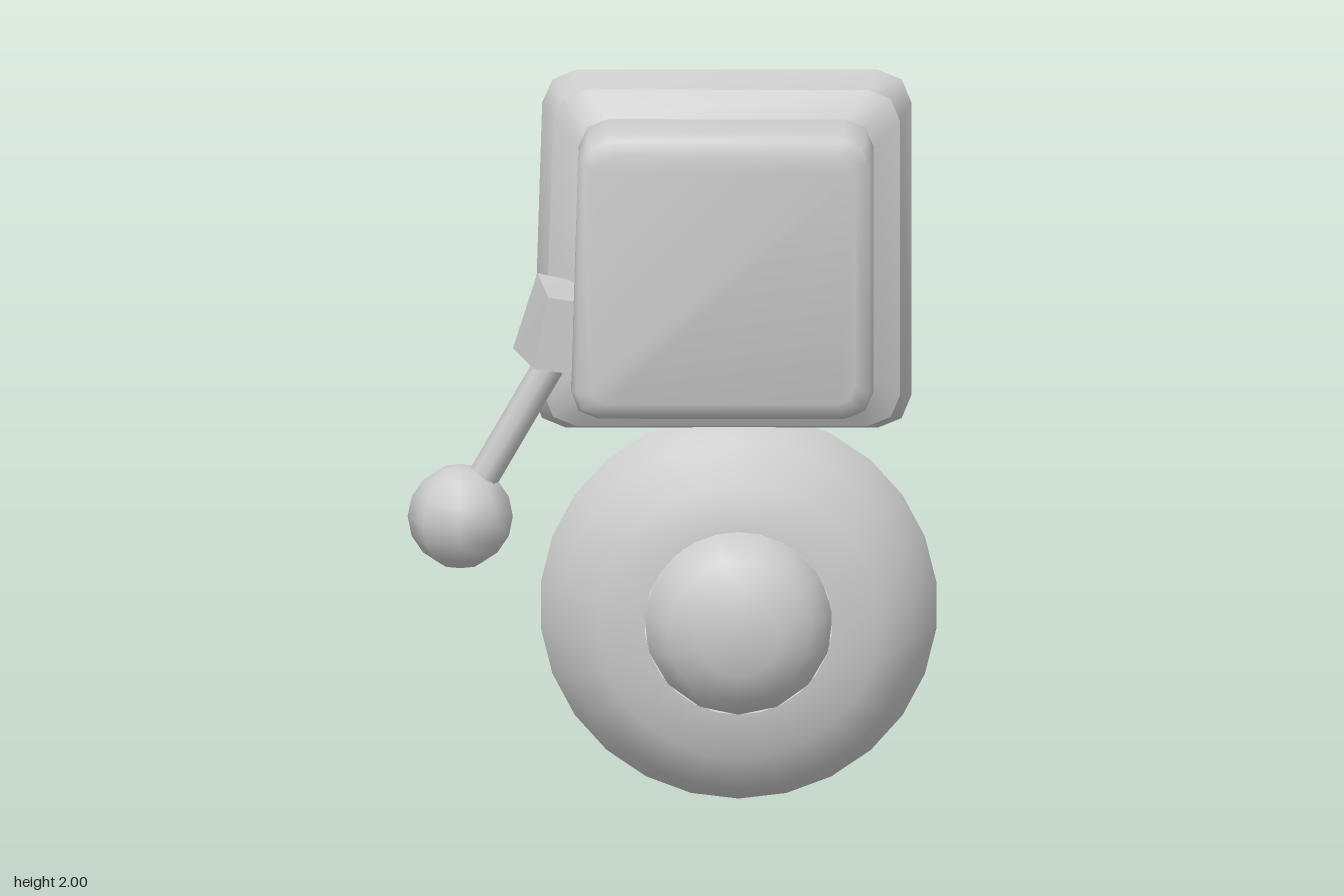
import * as THREE from 'three';
import { toCreasedNormals } from 'three/addons/utils/BufferGeometryUtils.js';

const grey = new THREE.MeshStandardMaterial({ color: 0xcccccc, side: THREE.DoubleSide });

function add(parent, name, geometry) {
  const mesh = new THREE.Mesh(geometry, grey);
  mesh.name = name;
  parent.add(mesh);
  return mesh;
}

// Rounded rectangle whose left edge leans slightly outward towards the bottom
function outline(inset, radius, z) {
  const [l, r, b, t] = [-0.365 + inset, 0.63 - inset, 1.02 + inset, 2 - inset];
  const corners = [[r, t, -1, -1], [l, t, 1, -1], [l, b, 1, 1], [r, b, -1, 1]];
  const ring = [];
  corners.forEach(([x, y, sx, sy], k) => {
    for (let i = 0; i <= 2; i++) {
      const a = (k + i / 2) * Math.PI / 2;
      const py = y + sy * radius + radius * Math.sin(a);
      const lean = sx > 0 ? 0.03 * ((py - 1.02) / 0.98 - 0.5) : 0;
      ring.push([x + sx * radius + radius * Math.cos(a) + lean, py, z]);
    }
  });
  return ring;
}

// Skin between successive rings, optionally closed at the last one
function loft(rings, crease, cap = false) {
  const n = rings[0].length, index = [], points = rings.flat();
  for (let i = 0; i < rings.length - 1; i++) {
    for (let j = 0; j < n; j++) {
      const a = i * n + j, b = i * n + (j + 1) % n;
      index.push(a, b, b + n, a, b + n, a + n);
    }
  }
  if (cap) {
    const s = (rings.length - 1) * n;
    for (let j = 1; j < n - 1; j++) index.push(s, s + j, s + j + 1);
  }
  const g = new THREE.BufferGeometry();
  g.setAttribute('position', new THREE.Float32BufferAttribute(points.flat(), 3));
  g.setIndex(index);
  return toCreasedNormals(g, crease);
}

// Round shell about the z axis from [radius, z] points
function dish(profile, sides, crease) {
  const points = profile.map(([r, z]) => new THREE.Vector2(r, z));
  return toCreasedNormals(new THREE.LatheGeometry(points, sides).rotateX(Math.PI / 2), crease);
}

export function createModel() {
  const model = new THREE.Group();
  model.name = 'alarmBell';

  // Housing: hollow, open at the back
  const housing = new THREE.Group();
  housing.name = 'housing';
  model.add(housing);
  add(housing, 'housingRim', loft([outline(0, 0.09, -0.17), outline(0.03, 0.085, -0.065)], 0.9));
  add(housing, 'housingShoulder', loft([outline(0.03, 0.085, -0.065), outline(0.1, 0.075, -0.02)], 0.9));
  add(housing, 'housingCover', loft([
    outline(0.1, 0.075, -0.02), outline(0.1, 0.075, 0.145),
    outline(0.114, 0.066, 0.176), outline(0.15, 0.045, 0.19),
  ], 0.95, true));

  // Gong: flared bowl with a shallow recess behind the hub
  const gong = new THREE.Group();
  gong.name = 'gong';
  gong.position.set(0.17, 0.53, 0);
  model.add(gong);
  add(gong, 'gongBowl', dish(
    [[0.53, -0.19], [0.475, -0.07], [0.375, 0.005], [0.25, 0.02]], 26, 0.9));
  add(gong, 'gongRecess', dish([[0.25, 0.02], [0.23, 0.06], [0, 0.06]], 15, 0.6));
  add(gong, 'gongHub', dish(
    [[0.252, 0.012], [0.235, 0.065], [0.195, 0.12], [0.115, 0.16], [0, 0.165]], 15, 0.9));

  // Striker: bracket, rod and ball
  const striker = new THREE.Group();
  striker.name = 'striker';
  model.add(striker);

  // Tapered bracket reaching through the side of the housing
  add(striker, 'strikerBracket', loft([
    [[-0.2, 1.25, -0.03], [-0.2, 1.44, -0.03], [-0.27, 1.44, 0.14], [-0.27, 1.24, 0.14]],
    [[-0.43, 1.27, -0.035], [-0.365, 1.475, -0.035], [-0.335, 1.45, 0.14], [-0.375, 1.255, 0.14]],
  ], 0.1, true));

  const top = new THREE.Vector3(-0.29, 1.32, 0.05);
  const ball = new THREE.Vector3(-0.57, 0.83, 0.05);
  const rod = add(striker, 'strikerRod',
    new THREE.CylinderGeometry(0.042, 0.042, top.distanceTo(ball), 8));
  rod.position.copy(top).lerp(ball, 0.5);
  rod.quaternion.setFromUnitVectors(new THREE.Vector3(0, 1, 0), top.clone().sub(ball).normalize());
  add(striker, 'strikerBall', new THREE.SphereGeometry(0.14, 8, 8)).position.copy(ball);

  return model;
}
